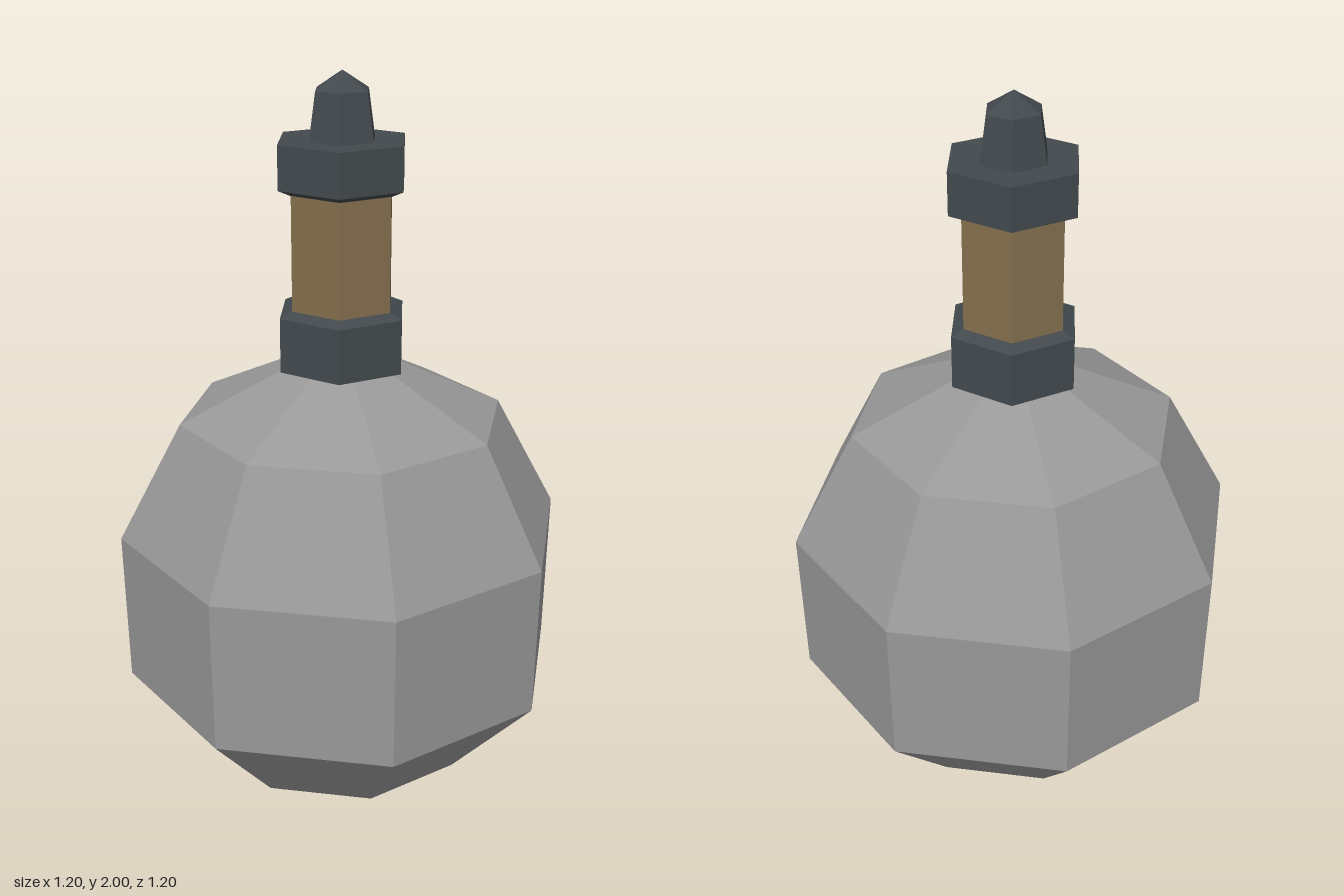
import * as THREE from 'three';

export function createModel() {
  const group = new THREE.Group();
  const flat = (name, color) => new THREE.MeshStandardMaterial({ name, color, flatShading: true });
  const stone = flat('stoneGrey', 0x989898);
  const iron = flat('darkIron', 0x42494d);
  const cork = flat('corkBrown', 0x846f4e);

  // Faceted turned part: profile of [radius, y] from bottom to top, one corner on +x
  const turned = (name, profile, sides, material) => {
    const points = profile.map(([r, y]) => new THREE.Vector2(r, y));
    const mesh = new THREE.Mesh(new THREE.LatheGeometry(points, sides, Math.PI / 2), material);
    mesh.name = name;
    group.add(mesh);
  };

  // Round eight-sided body
  turned('body', [[0, 0], [0.36, 0.135], [0.593, 0.39], [0.6, 0.8], [0.432, 1.11], [0, 1.318]], 8, stone);

  // Six-sided neck between two collars
  turned('neck', [[0, 1.35], [0.143, 1.35], [0.143, 1.75], [0, 1.75]], 6, cork);
  turned('lowerCollar', [[0, 1.25], [0.178, 1.25], [0.178, 1.393], [0.145, 1.408], [0, 1.408]], 6, iron);
  turned('upperCollar', [[0, 1.705], [0.145, 1.705], [0.178, 1.72], [0.178, 1.832], [0, 1.832]], 6, iron);

  // Tapered knob on top
  turned('knob', [[0, 1.82], [0.094, 1.82], [0.074, 1.953], [0, 2]], 6, iron);

  return group;
}
